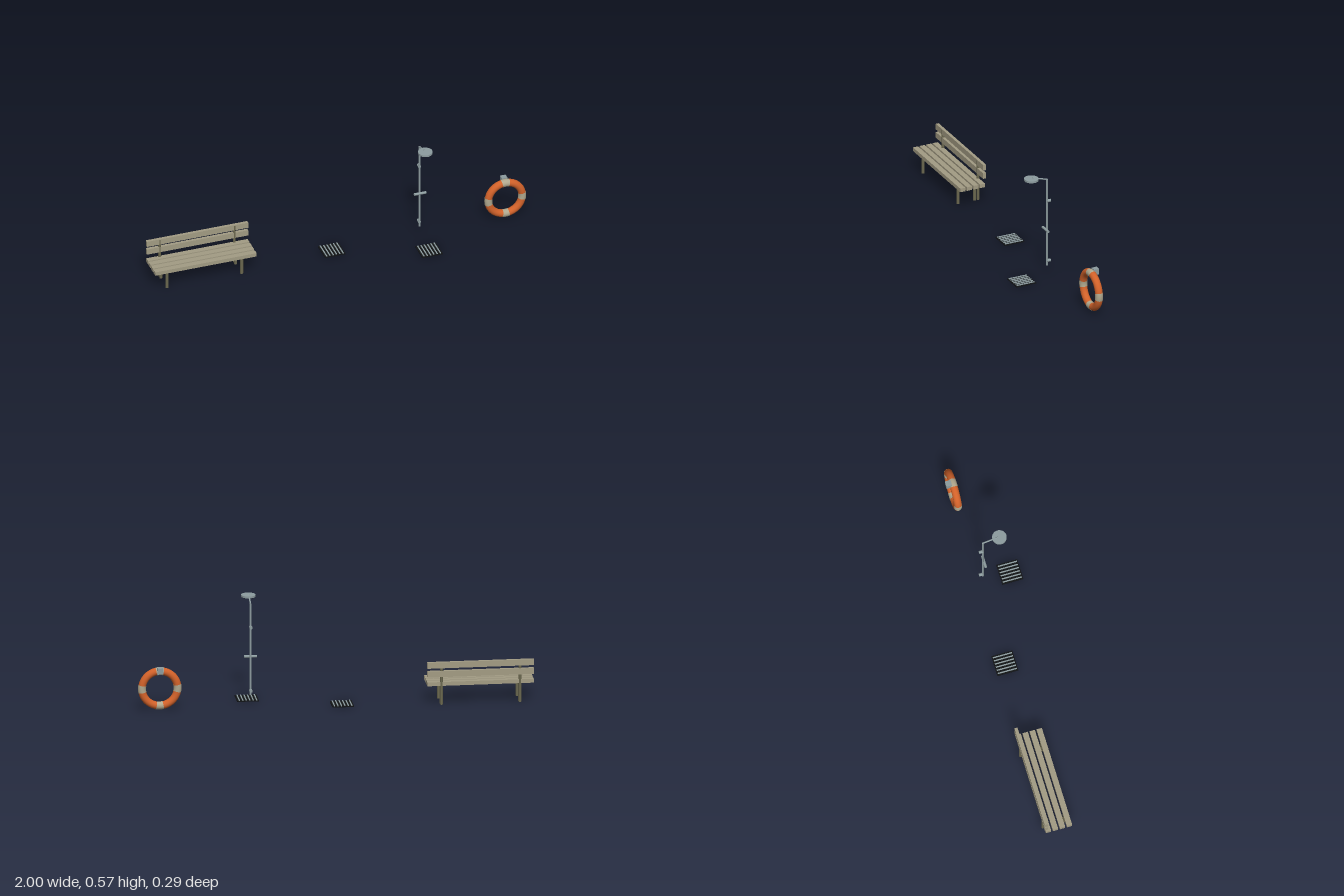
import * as THREE from 'three';

const mat = (color) => new THREE.MeshStandardMaterial({ color });

export function createModel() {
  const model = new THREE.Group();
  const wood = mat(0xa39c84), post = mat(0x6b684f), steel = mat(0x8d9c9f);
  const dark = mat(0x111315), orange = mat(0xd2622a), cloth = mat(0xb0a88e);

  const group = (name) => {
    const g = new THREE.Group();
    g.name = name;
    model.add(g);
    return g;
  };
  const add = (parent, name, geometry, material, x, y, z) => {
    const m = new THREE.Mesh(geometry, material);
    m.name = name;
    m.position.set(x, y, z);
    parent.add(m);
    return m;
  };
  const box = (g, name, material, size, pos) =>
    add(g, name, new THREE.BoxGeometry(...size), material, ...pos);
  // Round bar between two points
  const rod = (g, name, material, r, from, to, sides = 16) => {
    const a = new THREE.Vector3(...from), b = new THREE.Vector3(...to);
    const mid = a.clone().add(b).multiplyScalar(0.5);
    const m = add(g, name, new THREE.CylinderGeometry(r, r, a.distanceTo(b), sides), material, mid.x, mid.y, mid.z);
    m.quaternion.setFromUnitVectors(new THREE.Vector3(0, 1, 0), b.sub(a).normalize());
    return m;
  };

  // Bench: four seat slats, two back slats, legs and back posts
  const bench = group('bench');
  for (let i = 0; i < 4; i++) {
    box(bench, 'seatSlat', wood, [0.54, 0.02, 0.028], [-0.73, 0.108, -0.015 - i * 0.0368]);
  }
  for (const y of [0.161, 0.207]) {
    box(bench, 'backSlat', wood, [0.54, 0.031, 0.016], [-0.73, y, -0.137]);
  }
  for (const x of [-0.93, -0.532]) {
    for (const z of [-0.023, -0.116]) rod(bench, 'leg', post, 0.008, [x, 0, z], [x, 0.1, z]);
    rod(bench, 'backPost', post, 0.007, [x, 0, -0.135], [x, 0.218, -0.135]);
  }

  // Floor grates: dark tray with raised bars
  for (const [x, z] of [[-0.036, -0.07], [0.426, 0.092]]) {
    const grate = group('floorGrate');
    box(grate, 'grateTray', dark, [0.11, 0.004, 0.11], [x, 0.002, z]);
    for (let i = 0; i < 6; i++) {
      box(grate, 'grateBar', steel, [0.006, 0.004, 0.1], [x + (i - 2.5) * 0.0175, 0.006, z]);
    }
  }

  // Shower: pole, sloping arm, disc head, valve bar and wall brackets
  const shower = group('shower');
  const sx = 0.425;
  rod(shower, 'pole', steel, 0.005, [sx, 0.06, -0.05], [sx, 0.538, -0.05]);
  rod(shower, 'arm', steel, 0.004, [sx, 0.537, -0.051], [sx, 0.562, 0.03]);
  rod(shower, 'showerHead', steel, 0.037, [sx, 0.551, 0.037], [sx, 0.561, 0.037], 32);
  rod(shower, 'sprayFace', dark, 0.033, [sx, 0.549, 0.037], [sx, 0.553, 0.037], 32);
  rod(shower, 'valveBar', steel, 0.007, [sx - 0.032, 0.26, -0.043], [sx + 0.032, 0.26, -0.043]);
  for (const y of [0.085, 0.417]) {
    rod(shower, 'wallBracket', steel, 0.008, [sx, y, -0.049], [sx, y, -0.07]);
  }

  // Life ring with four bands and its hanging bracket
  const ring = group('lifeRing');
  const cx = 0.888, cy = 0.118, cz = -0.07, bandArc = 0.4;
  add(ring, 'ring', new THREE.TorusGeometry(0.09, 0.0195, 20, 64), orange, cx, cy, cz);
  const bandMat = cloth.clone();
  bandMat.side = THREE.DoubleSide;
  for (let i = 0; i < 4; i++) {
    const band = add(ring, 'band', new THREE.TorusGeometry(0.09, 0.0205, 20, 8, bandArc), bandMat, cx, cy, cz);
    band.rotation.z = i * Math.PI / 2 - bandArc / 2;
  }
  box(ring, 'hangingBracket', steel, [0.03, 0.031, 0.029], [cx, 0.2155, -0.0935]);

  return model;
}
